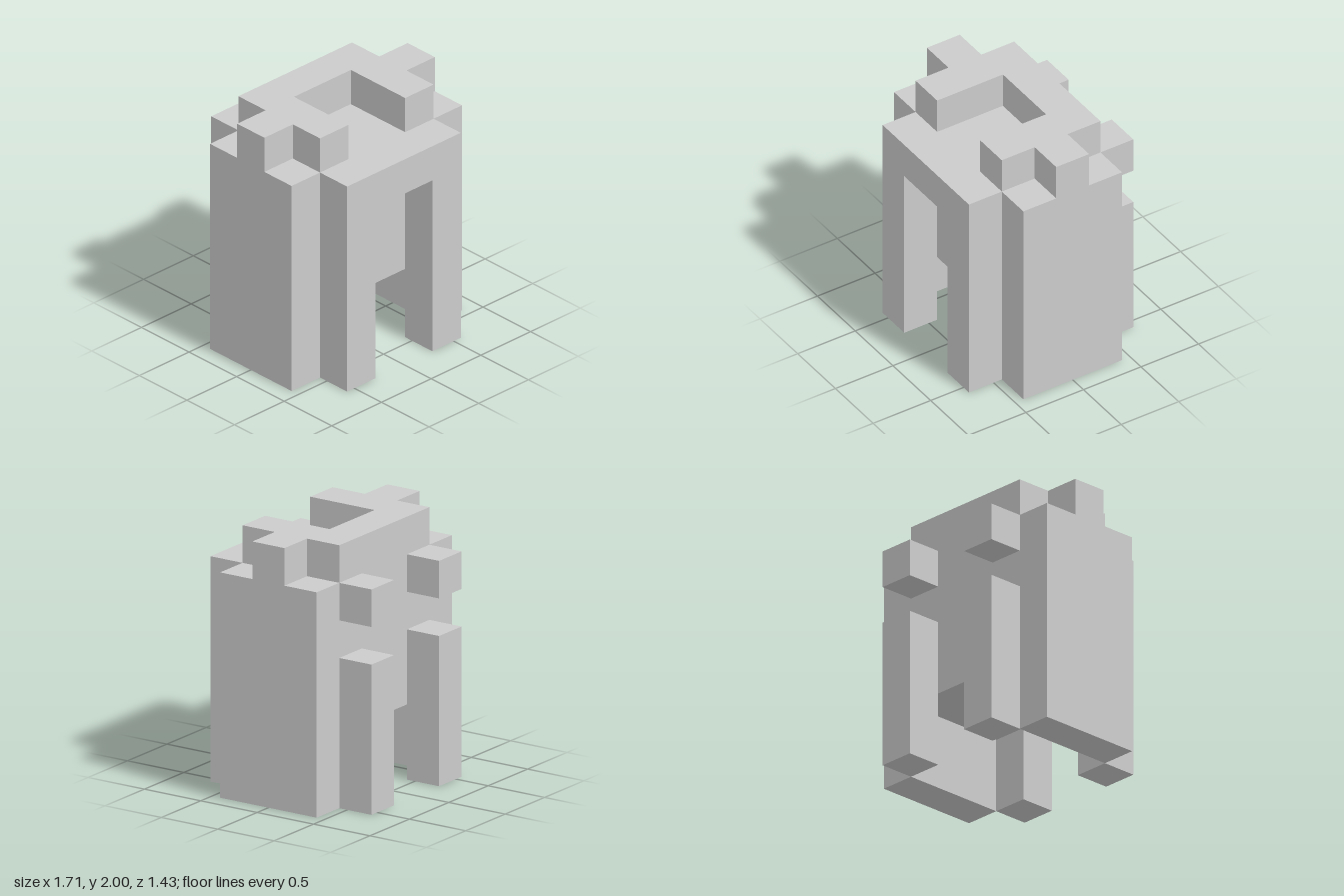
import * as THREE from 'three';

// One block of the seven-block-high figure
const U = 2 / 7;
const material = new THREE.MeshStandardMaterial({ color: 0xcccccc, flatShading: true });

function addMesh(parent, name, geometry) {
  geometry.scale(U, U, U);
  const mesh = new THREE.Mesh(geometry, material);
  mesh.name = name;
  parent.add(mesh);
}

// Extrudes a left-right symmetric outline given by its +x half
function symmetricExtrude(half, depth) {
  const mirrored = half.map(([x, y]) => [-x, y]).reverse();
  const points = [...half, ...mirrored].map(([x, y]) => new THREE.Vector2(x, y));
  return new THREE.ExtrudeGeometry(new THREE.Shape(points), { depth, bevelEnabled: false });
}

// Box from its minimum and maximum corners
function block([x0, y0, z0], [x1, y1, z1]) {
  return new THREE.BoxGeometry(x1 - x0, y1 - y0, z1 - z0)
    .translate((x0 + x1) / 2, (y0 + y1) / 2, (z0 + z1) / 2);
}

export function createModel() {
  const model = new THREE.Group();
  model.name = 'blockFigure';

  // Main body: thin side walls below a solid upper part
  addMesh(model, 'body',
    symmetricExtrude([[2, 2], [2, 0], [3, 0], [3, 6], [2, 6]], 3).translate(0, 0, -1.5));

  // Front arch with two legs and a recessed panel between them
  addMesh(model, 'frontArch',
    symmetricExtrude([[1, 5], [1, 0], [2, 0], [2, 6]], 1).translate(0, 0, 1.5));

  // Top layer: plan outline with a front notch and side lugs
  addMesh(model, 'topCrown',
    symmetricExtrude([[1, 0.5], [1, -1.5], [2, -1.5], [2, -0.5], [3, -0.5], [3, 0.5], [2, 0.5], [2, 1.5]], 1)
      .rotateX(-Math.PI / 2).translate(0, 6, 0));

  // Back legs and the small blocks above them
  for (const [side, x] of [['left', 1], ['right', -2]]) {
    addMesh(model, side + 'BackLeg', block([x, 0, -2.5], [x + 1, 4, -1.5]));
    addMesh(model, side + 'BackKnob', block([x, 5, -2.5], [x + 1, 6, -1.5]));
  }

  return model;
}
